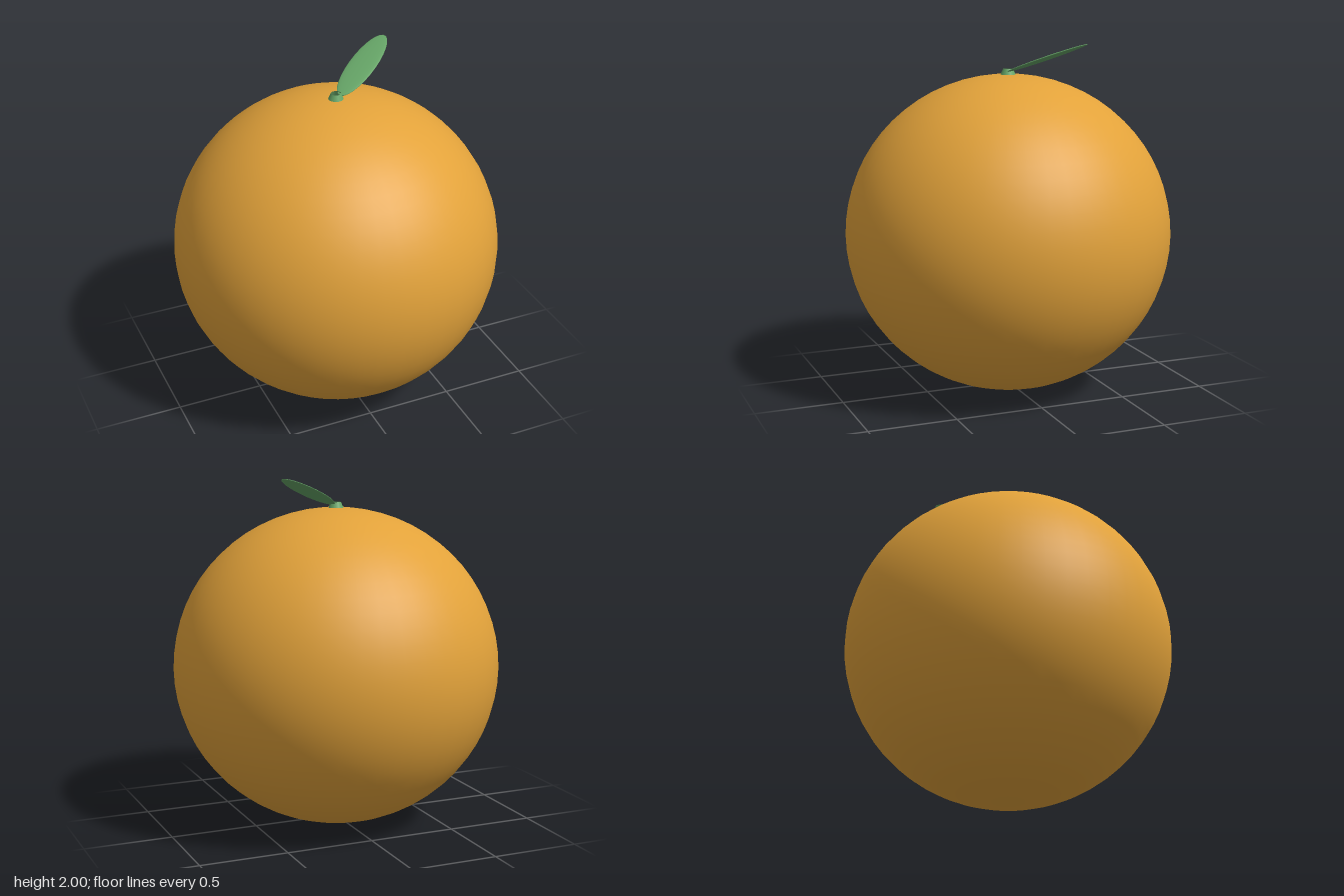
import * as THREE from 'three';

export function createModel() {
  const group = new THREE.Group();
  const peel = new THREE.MeshStandardMaterial({ color: 0xe2a23a });
  peel.name = 'orange peel';
  const green = new THREE.MeshStandardMaterial({ color: 0x66a567, side: THREE.DoubleSide });
  green.name = 'leaf green';

  const add = (name, geometry, material) => {
    const mesh = new THREE.Mesh(geometry, material);
    mesh.name = name;
    group.add(mesh);
    return mesh;
  };

  // Fruit: slightly squashed sphere resting on the ground
  const fruit = add('fruit', new THREE.SphereGeometry(1, 48, 32), peel);
  fruit.scale.set(0.93, 0.905, 0.93);
  fruit.position.y = 0.905;

  // Stem: short hollow tapered collar on the crown
  const stem = add('stem', new THREE.CylinderGeometry(0.028, 0.046, 0.04, 16, 1, true), green);
  stem.position.y = 1.82;

  // Leaf: thin flattened ellipsoid rising to the back left
  const leaf = add('leaf', new THREE.SphereGeometry(1, 28, 14), green);
  leaf.scale.set(0.265, 0.009, 0.083);
  leaf.rotation.set(0, 0.644, 0.331, 'YZX');
  leaf.position.set(0.222, 1.911, -0.14);

  return group;
}
